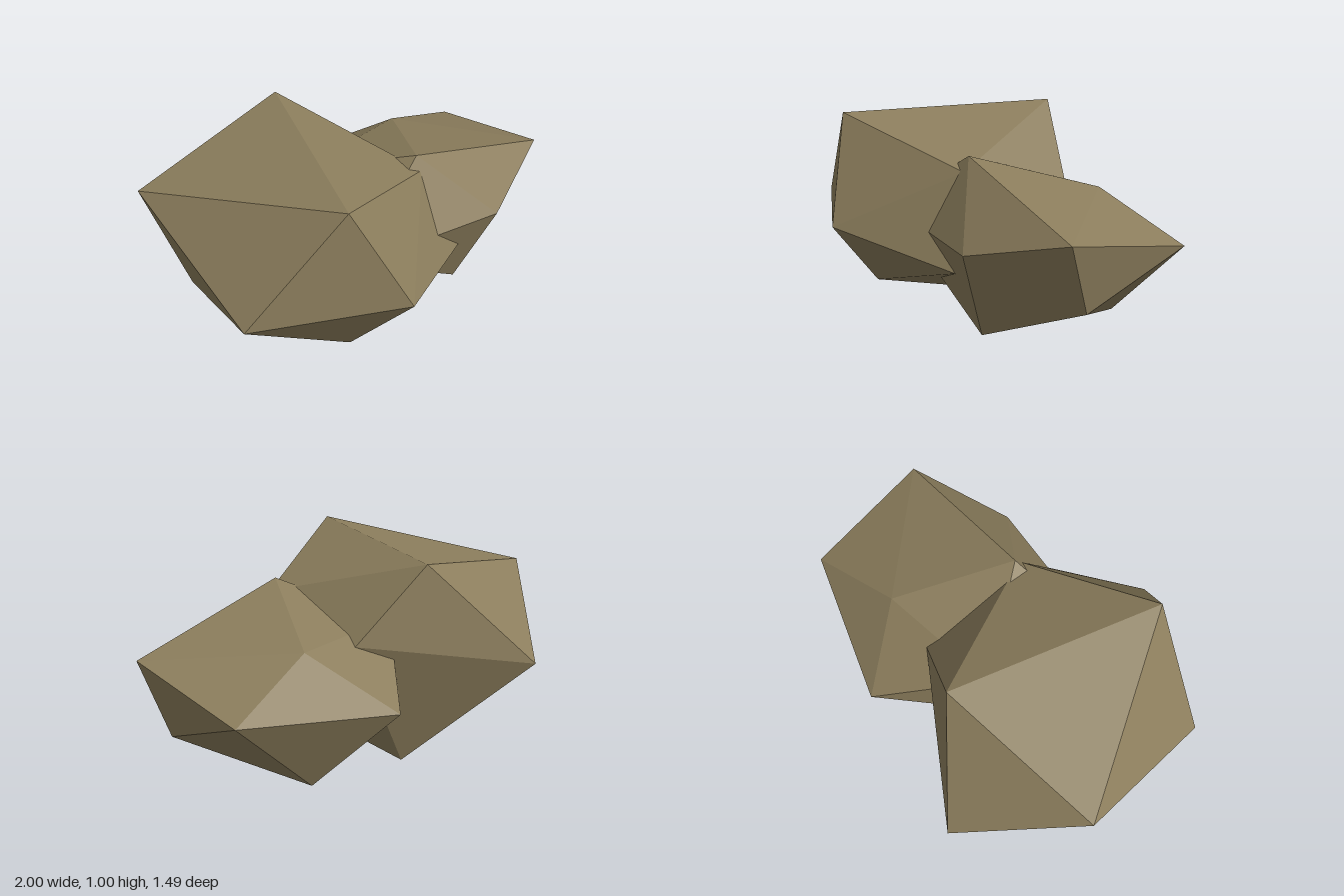
import * as THREE from 'three';
import { ConvexGeometry } from 'three/addons/geometries/ConvexGeometry.js';

// Irregular twenty-sided boulder from its twelve corners, with flat faces
function boulder(name, corners, material) {
  const points = corners.map(([x, y, z]) => new THREE.Vector3(x, y, z));
  const mesh = new THREE.Mesh(new ConvexGeometry(points), material);
  mesh.name = name;
  return mesh;
}

export function createModel() {
  const group = new THREE.Group();
  group.name = 'rocks';

  const stone = new THREE.MeshStandardMaterial({ color: 0x8b7d5c });
  stone.name = 'stone';

  // Large rock
  group.add(boulder('largeRock', [
    [-1, 0.84, 0.06], [-0.19, 0.99, 0.66], [-0.29, 1.005, -0.37], // upper corners
    [0.29, 0.79, 0.15], [0.06, 0.66, -0.38],
    [-0.66, 0.495, 0.72], [0.08, 0.5, 0.74], [-0.78, 0.52, -0.54], // middle corners
    [0.47, 0.375, 0.22], [-0.81, 0.3, 0.09],
    [-0.15, 0.145, 0.52], [-0.22, 0, -0.29], // lower corners
  ], stone));

  // Small rock, sunk into the side of the large one
  group.add(boulder('smallRock', [
    [0.27, 0.86, 0.125], [0.33, 0.705, -0.47], [-0.2, 0.69, -0.16], // upper corners
    [1, 0.65, -0.17], [0.66, 0.52, 0.215],
    [-0.1, 0.54, 0.45], [0.72, 0.53, -0.745], [-0.025, 0.455, -0.7], // middle corners
    [-0.25, 0.38, -0.15], [0.885, 0.31, -0.27],
    [0.5, 0.085, 0.105], [0.33, 0.1, -0.55], // lower corners
  ], stone));

  return group;
}
